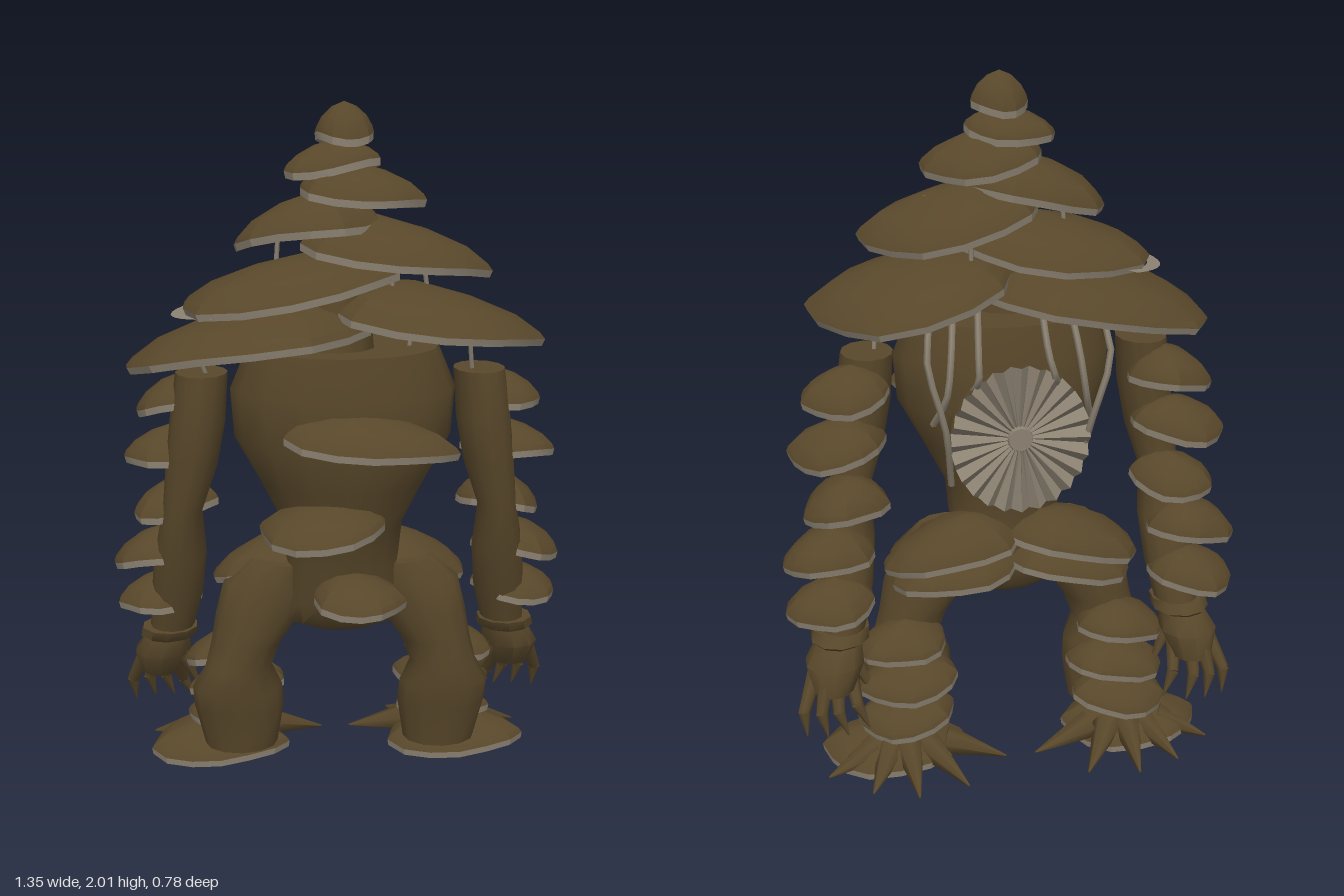
import * as THREE from 'three';
import { mergeVertices, toCreasedNormals } from 'three/addons/utils/BufferGeometryUtils.js';

const bark = new THREE.MeshStandardMaterial({ color: 0x58472a });
bark.name = 'bark brown';
const gill = new THREE.MeshStandardMaterial({ color: 0x8c8272, side: THREE.DoubleSide });
gill.name = 'gill grey';

// Rebuild normals after vertices were moved
function finish(geo, crease = 0.7) {
  geo.deleteAttribute('uv');
  geo.deleteAttribute('normal');
  return toCreasedNormals(mergeVertices(geo, 1e-5), crease);
}

function add(parent, name, geo, mat) {
  const mesh = new THREE.Mesh(geo, mat);
  mesh.name = name;
  parent.add(mesh);
  return mesh;
}

// Skin over rings [x, y, z, radiusX, radiusZ], listed from top to bottom
function loft(rings, sides = 14) {
  const k = rings.length - 1;
  const geo = new THREE.CylinderGeometry(1, 1, 1, sides, k);
  const p = geo.attributes.position;
  for (let i = 0; i < p.count; i++) {
    const [x, y, z, rx, rz] = rings[Math.round((0.5 - p.getY(i)) * k)];
    p.setXYZ(i, x + p.getX(i) * rx, y, z + p.getZ(i) * rz);
  }
  return finish(geo, 0.9);
}

// Tapered rod between two points
function rod(parent, name, a, b, r0, r1, mat, sides = 7) {
  const from = new THREE.Vector3(...a), to = new THREE.Vector3(...b);
  const dir = to.clone().sub(from);
  const mesh = add(parent, name, new THREE.CylinderGeometry(r1, r0, dir.length(), sides), mat);
  mesh.position.copy(from).add(to).multiplyScalar(0.5);
  mesh.quaternion.setFromUnitVectors(new THREE.Vector3(0, 1, 0), dir.normalize());
}

// Wavy lathe used for both faces of a mushroom cap; lean moves the peak sideways
function wavyLathe(points, rx, rz, h, seed, lean) {
  const geo = new THREE.LatheGeometry(points.map(([x, y]) => new THREE.Vector2(x, y)), 14);
  const p = geo.attributes.position;
  for (let i = 0; i < p.count; i++) {
    const x = p.getX(i), z = p.getZ(i), a = Math.atan2(z, x), r = Math.hypot(x, z);
    const f = 1 + 0.04 * Math.sin(3 * a + seed) + 0.03 * Math.sin(5 * a + 2 * seed);
    p.setXYZ(i, x * rx * f + lean * (1 - r), p.getY(i) + r * r * h * 0.1 * Math.sin(2 * a + seed), z * rz * f);
  }
  return finish(geo, 0.45);
}

// Shelf mushroom: brown dome, pale lip and underside; y is the rim height
function cap(parent, name, [x, y, z], rx, rz, h, tiltZ = 0, tiltX = 0) {
  const g = new THREE.Group(), seed = x * 17 + y * 11, lip = 0.02, lean = tiltZ * rx * 1.4;
  g.name = name;
  add(g, 'dome', wavyLathe([[1, lip], [0.95, lip + h * 0.14], [0.76, h * 0.6], [0.42, h * 0.86], [0, h]], rx, rz, h, seed, lean), bark);
  add(g, 'gills', wavyLathe([[0, h * 0.3], [0.75, h * 0.12], [0.985, 0], [1, lip]], rx, rz, h, seed, lean), gill);
  g.position.set(x, y, z);
  g.rotation.set(tiltX, 0, tiltZ);
  parent.add(g);
}

export function createModel() {
  const model = new THREE.Group();
  model.name = 'mushroomGolem';

  // Torso, wide at the shoulders and narrow at the waist
  add(model, 'torso', loft([
    [0, 1.33, 0.08, 0.27, 0.2], [0, 1.21, 0.075, 0.32, 0.215], [0, 1.07, 0.075, 0.31, 0.215],
    [0, 0.94, 0.065, 0.24, 0.19], [0, 0.81, 0.06, 0.175, 0.15], [0, 0.68, 0.04, 0.165, 0.13],
    [0, 0.57, 0.03, 0.185, 0.12], [0, 0.5, 0.03, 0.17, 0.1], [0, 0.47, 0.02, 0.1, 0.06],
  ], 16), bark);
  add(model, 'hatStem', loft([
    [0, 1.92, 0.11, 0.03, 0.03], [0, 1.6, 0.1, 0.06, 0.06], [-0.02, 1.3, 0.1, 0.11, 0.1],
  ], 10), bark);

  // Stacked hat of mushroom caps
  const hat = new THREE.Group();
  hat.name = 'hat';
  model.add(hat);
  for (const [x, y, z, rx, rz, h, tilt] of [
    [0, 1.89, 0.11, 0.08, 0.075, 0.11, 0],
    [-0.035, 1.81, 0.11, 0.13, 0.09, 0.09, 0.1],
    [0.04, 1.73, 0.12, 0.175, 0.14, 0.11, -0.12],
    [-0.1, 1.64, 0.12, 0.205, 0.155, 0.12, 0.16],
    [0.13, 1.56, 0.11, 0.265, 0.19, 0.13, -0.17],
    [-0.155, 1.47, 0.13, 0.305, 0.215, 0.12, 0.14],
    [0.25, 1.37, 0.08, 0.3, 0.265, 0.13, -0.17],
    [-0.26, 1.325, 0.09, 0.355, 0.265, 0.13, 0.16],
  ]) cap(hat, 'hatCap', [x, y, z], rx, rz, h, tilt, -0.05);

  // Pale rim showing around the outer edge of one hat cap
  const rim = add(hat, 'hatRim', new THREE.RingGeometry(0.94, 1.07, 12, 1, Math.PI - 0.85, 1.7)
    .rotateX(-Math.PI / 2).scale(0.305, 1, 0.215), gill);
  rim.position.set(-0.155, 1.478, 0.12);
  rim.rotation.z = 0.14;

  // Thin strands hanging between the hat caps and down the back
  for (const [a, b] of [
    [[-0.18, 1.66, 0.1], [-0.19, 1.52, 0.1]], [[0.21, 1.66, 0.1], [0.24, 1.45, 0.08]],
    [[0.13, 1.6, 0.14], [0.13, 1.42, 0.14]], [[-0.33, 1.5, 0.05], [-0.29, 1.38, 0.04]],
    [[-0.38, 1.48, 0.12], [-0.37, 1.38, 0.12]], [[0.24, 1.42, 0.05], [0.22, 1.27, 0.02]],
    [[0.2, 1.42, 0.1], [0.18, 1.3, 0.1]], [[-0.42, 1.33, 0.05], [-0.38, 1.22, 0.02]],
    [[0.36, 1.4, 0.05], [0.38, 1.22, 0.02]], [[0.1, 1.6, 0], [0.1, 1.45, 0]],
  ]) rod(hat, 'strand', a, b, 0.007, 0.007, gill, 5);
  for (const [x0, x1, y1] of [[0.23, 0.18, 0.86], [0.17, 0.23, 1.05], [0.1, 0.12, 1.14], [-0.08, -0.13, 1.14], [-0.16, -0.23, 1.02], [-0.24, -0.19, 0.88]]) {
    const curve = new THREE.CatmullRomCurve3([
      new THREE.Vector3(x0, 1.38, -0.1), new THREE.Vector3(x0 * 1.1, 1.26, -0.17),
      new THREE.Vector3((x0 + x1) / 2, (1.26 + y1) / 2, -0.175), new THREE.Vector3(x1, y1, -0.1),
    ]);
    add(hat, 'backStrand', new THREE.TubeGeometry(curve, 8, 0.01, 5), gill);
  }

  // Pleated gill disc on the claw side of the torso
  const pleats = new THREE.RingGeometry(0.035, 0.2, 48, 1);
  const pp = pleats.attributes.position;
  for (let i = 0; i < pp.count; i++) {
    const outer = Math.hypot(pp.getX(i), pp.getY(i)) > 0.1;
    pp.setZ(i, (i % 49) % 2 ? 0 : outer ? 0.03 : 0.01);
  }
  const disc = add(model, 'gillDisc', finish(pleats, 0.1), gill);
  disc.position.set(-0.01, 1.01, -0.15);
  disc.rotation.set(0.03, Math.PI, 0);
  disc.scale.y = 1.08;
  rod(model, 'gillDiscBacking', [-0.01, 1.01, -0.02], [-0.01, 1.01, -0.14], 0.2, 0.2, bark, 24);
  rod(model, 'gillDiscHub', [-0.01, 1.01, -0.13], [-0.01, 1.01, -0.165], 0.045, 0.035, gill, 10);

  // Shelf mushrooms on the torso
  cap(model, 'torsoCap', [0.06, 1.065, 0.235], 0.24, 0.155, 0.115, -0.13);
  cap(model, 'torsoCap', [-0.07, 0.81, 0.2], 0.18, 0.165, 0.1, 0.06);
  cap(model, 'torsoCap', [0.035, 0.58, 0.15], 0.135, 0.15, 0.1, -0.1);

  for (const s of [-1, 1]) {
    const side = s > 0 ? 'left' : 'right';
    const at = (x, y, z) => [s * x, y, z];
    const limb = (rings, n) => loft(rings.map(([x, ...r]) => [s * x, ...r]), n);

    // Hip mushrooms
    cap(model, side + 'HipCap', at(0.18, 0.625, -0.065), 0.205, 0.135, 0.115, -s * 0.2, -0.04);
    cap(model, side + 'HipCapLower', at(0.17, 0.555, -0.075), 0.19, 0.125, 0.1, -s * 0.14, -0.04);

    // Arm with cuff and hand
    const arm = new THREE.Group();
    arm.name = side + 'Arm';
    model.add(arm);
    add(arm, 'armLimb', limb([
      [0.4, 1.245, 0.01, 0.075, 0.09], [0.415, 1.1, 0.015, 0.08, 0.095], [0.435, 0.97, 0.01, 0.075, 0.085],
      [0.465, 0.83, 0, 0.058, 0.075], [0.475, 0.69, -0.03, 0.077, 0.08], [0.49, 0.55, -0.07, 0.077, 0.075],
      [0.51, 0.42, -0.1, 0.065, 0.07],
    ], 12), bark);
    add(arm, 'cuff', limb([
      [0.515, 0.435, -0.09, 0.085, 0.08], [0.52, 0.405, -0.105, 0.088, 0.085], [0.525, 0.395, -0.11, 0.07, 0.07],
      [0.54, 0.34, -0.13, 0.088, 0.09], [0.55, 0.26, -0.16, 0.06, 0.06],
    ], 10), bark);
    for (const [x, y, z, r] of [[0.465, 1.125, -0.055, 0.125], [0.495, 0.97, -0.065, 0.14], [0.485, 0.8, -0.08, 0.125], [0.54, 0.65, -0.085, 0.135], [0.54, 0.5, -0.11, 0.13]])
      cap(arm, 'armCap', at(x, y, z), r, 0.115, 0.105, -s * 0.13, -0.08);
    for (const [x0, x1, z0, z1] of [[0.5, 0.46, -0.12, -0.19], [0.54, 0.525, -0.17, -0.22], [0.57, 0.585, -0.18, -0.22], [0.6, 0.645, -0.14, -0.2]]) {
      const knuckle = at((x0 + x1 * 2) / 3 + 0.01, 0.215, z1 + 0.005);
      rod(arm, 'finger', at(x0, 0.31, z0), knuckle, 0.025, 0.018, bark);
      rod(arm, 'claw', knuckle, at(x1 - 0.01, 0.14, z1 - 0.01), 0.019, 0.002, bark);
    }
    rod(arm, 'thumb', at(0.49, 0.35, -0.1), at(0.43, 0.21, -0.13), 0.028, 0.004, bark);

    // Leg with small mushrooms behind it
    const leg = new THREE.Group();
    leg.name = side + 'Leg';
    model.add(leg);
    add(leg, 'legLimb', limb([
      [0.17, 0.68, 0.01, 0.1, 0.09], [0.21, 0.61, 0.01, 0.14, 0.1], [0.245, 0.51, 0.01, 0.13, 0.105],
      [0.285, 0.42, 0.01, 0.105, 0.1], [0.31, 0.34, 0.01, 0.1, 0.1], [0.315, 0.27, 0, 0.135, 0.105],
      [0.31, 0.2, -0.01, 0.135, 0.095], [0.305, 0.07, -0.02, 0.11, 0.085],
    ], 12), bark);
    for (const [x, y, z, r] of [[0.335, 0.33, -0.075, 0.135], [0.315, 0.215, -0.1, 0.15], [0.325, 0.11, -0.125, 0.145]])
      cap(leg, 'legCap', at(x, y, z), r, 0.11, 0.095, -s * 0.1, -0.1);

    // Foot cap with spiked toes
    cap(leg, 'foot', at(0.37, 0.004, -0.125), 0.21, 0.145, 0.105);
    for (const [x, z] of [[0.045, -0.23], [0.18, -0.36], [0.33, -0.39], [0.46, -0.345], [0.58, -0.24]])
      rod(leg, 'toe', at(0.34 + (x - 0.34) * 0.4, 0.055, -0.17 + (z + 0.17) * 0.15), at(x, 0.008, z), 0.045, 0.003, bark);
  }
  return model;
}
